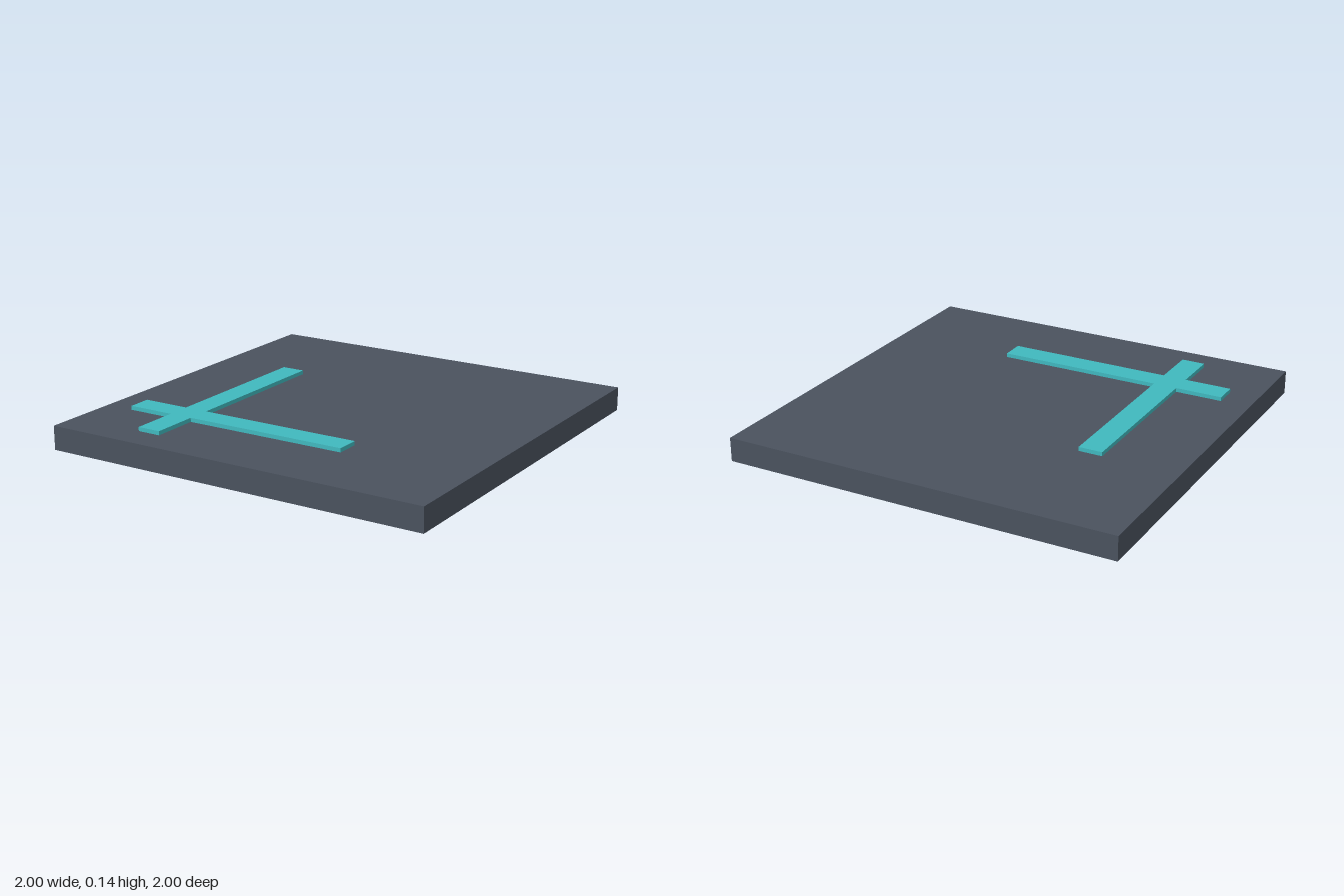
import * as THREE from 'three';

const SLAB_HEIGHT = 0.12;
const STRIP_HEIGHT = 0.02;

export function createModel() {
  const model = new THREE.Group();
  model.name = 'markedTile';

  // Square base slab
  const slab = new THREE.Mesh(
    new THREE.BoxGeometry(2, SLAB_HEIGHT, 2),
    new THREE.MeshStandardMaterial({ color: 0x4a525e })
  );
  slab.name = 'baseSlab';
  slab.position.y = SLAB_HEIGHT / 2;
  model.add(slab);

  // Two crossing strips as one raised outline, centred on their crossing
  const w = 0.06; // half width of a strip
  const short = 0.3; // arm towards the near corner
  const long = 0.9; // arm across the slab
  const outline = new THREE.Shape([
    [-short, -w], [-w, -w], [-w, -short], [w, -short], [w, -w], [long, -w],
    [long, w], [w, w], [w, long], [-w, long], [-w, w], [-short, w],
  ].map(([x, y]) => new THREE.Vector2(x, y)));
  const crossGeometry = new THREE.ExtrudeGeometry(outline, { depth: STRIP_HEIGHT, bevelEnabled: false });
  crossGeometry.rotateX(-Math.PI / 2);

  const cross = new THREE.Mesh(crossGeometry, new THREE.MeshStandardMaterial({ color: 0x40b8be }));
  cross.name = 'crossedStrips';
  cross.position.set(-0.55, SLAB_HEIGHT, 0.55);
  model.add(cross);

  return model;
}
